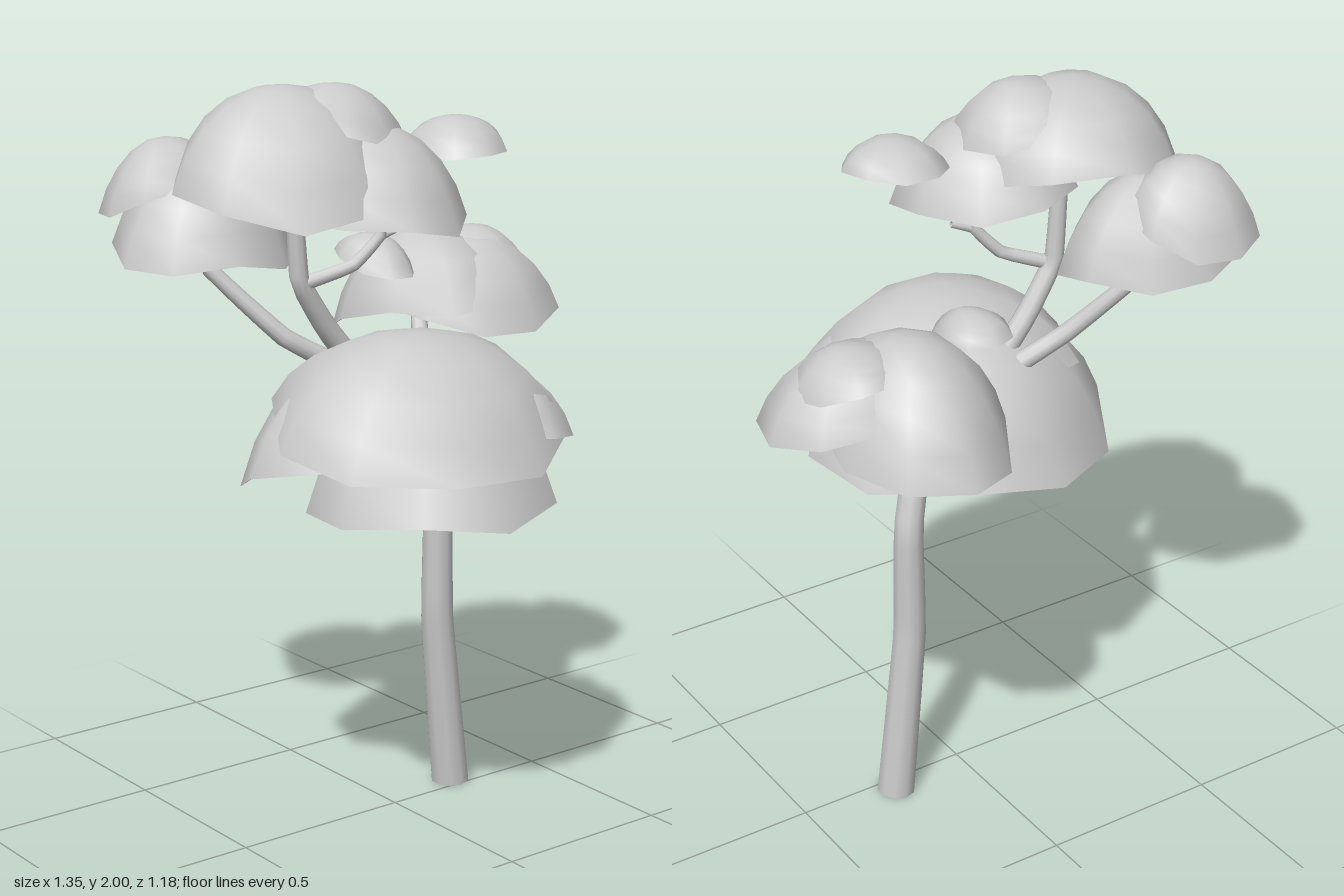
import * as THREE from 'three';
import { mergeVertices } from 'three/addons/utils/BufferGeometryUtils.js';

const material = new THREE.MeshStandardMaterial({ color: 0xcccccc, side: THREE.DoubleSide });
const V = (x, y, z) => new THREE.Vector3(x, y, z);

// Open leaf canopy: apex at (x, top, z), plan radii rx/rz, rim hanging `drop` below
// the apex, with the rim sloping by sx and sz along each axis.
function canopy(name, x, top, z, rx, rz, drop, sx, sz, turn = 0) {
  const phi = 1.25;
  let geo = new THREE.SphereGeometry(1, 9, 5, turn, Math.PI * 2, 0, phi);
  geo.deleteAttribute('uv');
  geo.deleteAttribute('normal');
  geo = mergeVertices(geo, 1e-4);
  const p = geo.attributes.position;
  for (let i = 0; i < p.count; i++) {
    const px = p.getX(i), py = p.getY(i), pz = p.getZ(i);
    const rho = Math.hypot(px, pz) / Math.sin(phi);
    const a = Math.atan2(pz, px);
    // slight waviness that grows towards the rim
    const wave = Math.sin(3 * a + turn * 5 + x * 9) * rho * rho * rho;
    const k = (1 + 0.025 * wave) / Math.sin(phi);
    const dx = px * k * rx, dz = pz * k * rz;
    const fall = drop * (1 - py) / (1 - Math.cos(phi));
    p.setXYZ(i, x + dx, top - fall + (sx * dx + sz * dz) * rho + 0.08 * drop * wave, z + dz);
  }
  geo.computeVertexNormals();
  const mesh = new THREE.Mesh(geo, material);
  mesh.name = name;
  return mesh;
}

// Tapered limb through a few points
function limb(name, points, r0, r1, sides = 10) {
  const curve = new THREE.CatmullRomCurve3(points.map(q => V(...q)), false, 'catmullrom', 0.12);
  const steps = (points.length - 1) * 4;
  const geo = new THREE.TubeGeometry(curve, steps, 1, sides);
  const p = geo.attributes.position, v = V(0, 0, 0);
  for (let i = 0; i < p.count; i++) {
    const t = Math.floor(i / (sides + 1)) / steps;
    const c = curve.getPointAt(t);
    v.fromBufferAttribute(p, i).sub(c).multiplyScalar(r0 + (r1 - r0) * t).add(c);
    p.setXYZ(i, v.x, Math.max(0, v.y), v.z);
  }
  const mesh = new THREE.Mesh(geo, material);
  mesh.name = name;
  return mesh;
}

export function createModel() {
  const tree = new THREE.Group();
  tree.name = 'tree';

  // Trunk and branches
  const wood = new THREE.Group();
  wood.name = 'wood';
  const limbs = [
    ['trunk', [[0.23, 0, -0.042], [0.175, 0.5, -0.035], [0.172, 0.82, -0.03], [0.14, 0.95, -0.01], [0.08, 1.12, -0.02]], 0.054, 0.036],
    ['upperStem', [[0.08, 1.12, -0.02], [-0.08, 1.22, -0.03], [-0.2, 1.36, -0.03], [-0.29, 1.5, -0.025], [-0.31, 1.76, -0.02]], 0.036, 0.022],
    ['leftBackBranch', [[0.0, 1.17, -0.03], [-0.27, 1.33, -0.12], [-0.43, 1.52, -0.24], [-0.46, 1.7, -0.28]], 0.03, 0.018],
    ['rightBackBranch', [[0.11, 1.06, -0.02], [0.16, 1.17, -0.08], [0.23, 1.31, -0.19], [0.32, 1.46, -0.3]], 0.03, 0.018],
    ['rightTwig', [[0.23, 1.31, -0.18], [0.34, 1.38, -0.19], [0.44, 1.45, -0.2]], 0.018, 0.012],
    ['frontTwig', [[-0.28, 1.49, -0.02], [-0.16, 1.53, 0.03], [-0.09, 1.61, 0.06], [-0.1, 1.78, 0.08]], 0.02, 0.012],
    ['smallTwig', [[-0.1, 1.6, 0.055], [-0.03, 1.625, 0.07]], 0.012, 0.008],
    ['lowerBranch', [[0.15, 0.92, -0.015], [0.09, 0.98, 0.06], [0.0, 1.02, 0.14], [-0.08, 1.13, 0.2]], 0.026, 0.014],
  ];
  for (const args of limbs) wood.add(limb(...args));
  tree.add(wood);

  // Leaf clusters: name, x, top, z, rx, rz, drop, slope x, slope z, turn
  const leaves = new THREE.Group();
  leaves.name = 'leaves';
  const clusters = [
    // lower front cluster
    ['lowerMainCanopy', -0.1, 1.38, 0.23, 0.4, 0.365, 0.25, 0.06, -0.2, 0.5],
    ['lowerFrontCanopy', -0.035, 1.24, 0.2, 0.345, 0.315, 0.31, 0.03, -0.03, 0.2],
    ['lowerBackCanopy', -0.1, 1.34, 0.06, 0.4, 0.33, 0.3, 0.08, 0.24, 0],
    ['lowerSideCanopy', 0.1, 1.28, 0.27, 0.22, 0.23, 0.15, -0.1, -0.05, 0.3],
    // top left cluster
    ['topMainCanopy', -0.34, 2.0, -0.02, 0.295, 0.29, 0.25, 0.09, -0.22, 0.45],
    ['topCapCanopy', -0.2, 2.0, 0.02, 0.17, 0.175, 0.12, -0.18, -0.08, 0.4],
    ['topFrontCanopy', -0.14, 1.9, 0.09, 0.24, 0.255, 0.22, -0.02, -0.14, 0.6],
    ['topSmallCanopy', 0.135, 1.9, 0.08, 0.14, 0.14, 0.085, 0.09, -0.08, 0.2],
    // left back cluster
    ['leftBackCanopy', -0.425, 1.8, -0.25, 0.25, 0.215, 0.25, 0, -0.08, 0],
    ['leftBackCapCanopy', -0.48, 1.85, -0.35, 0.175, 0.17, 0.17, 0.08, 0.28, 0],
    // right back cluster
    ['rightBackCanopy', 0.325, 1.55, -0.31, 0.235, 0.285, 0.25, 0, 0.19, 0.5],
    ['rightSideCanopy', 0.43, 1.52, -0.2, 0.25, 0.215, 0.2, 0, -0.2, 0.4],
    ['rightCapCanopy', 0.47, 1.54, -0.235, 0.14, 0.145, 0.09, -0.15, -0.15, 0.2],
    ['rightSmallCanopy', 0.12, 1.55, -0.245, 0.1, 0.13, 0.08, -0.05, -0.25, 0.5],
  ];
  for (const args of clusters) leaves.add(canopy(...args));
  tree.add(leaves);

  return tree;
}
